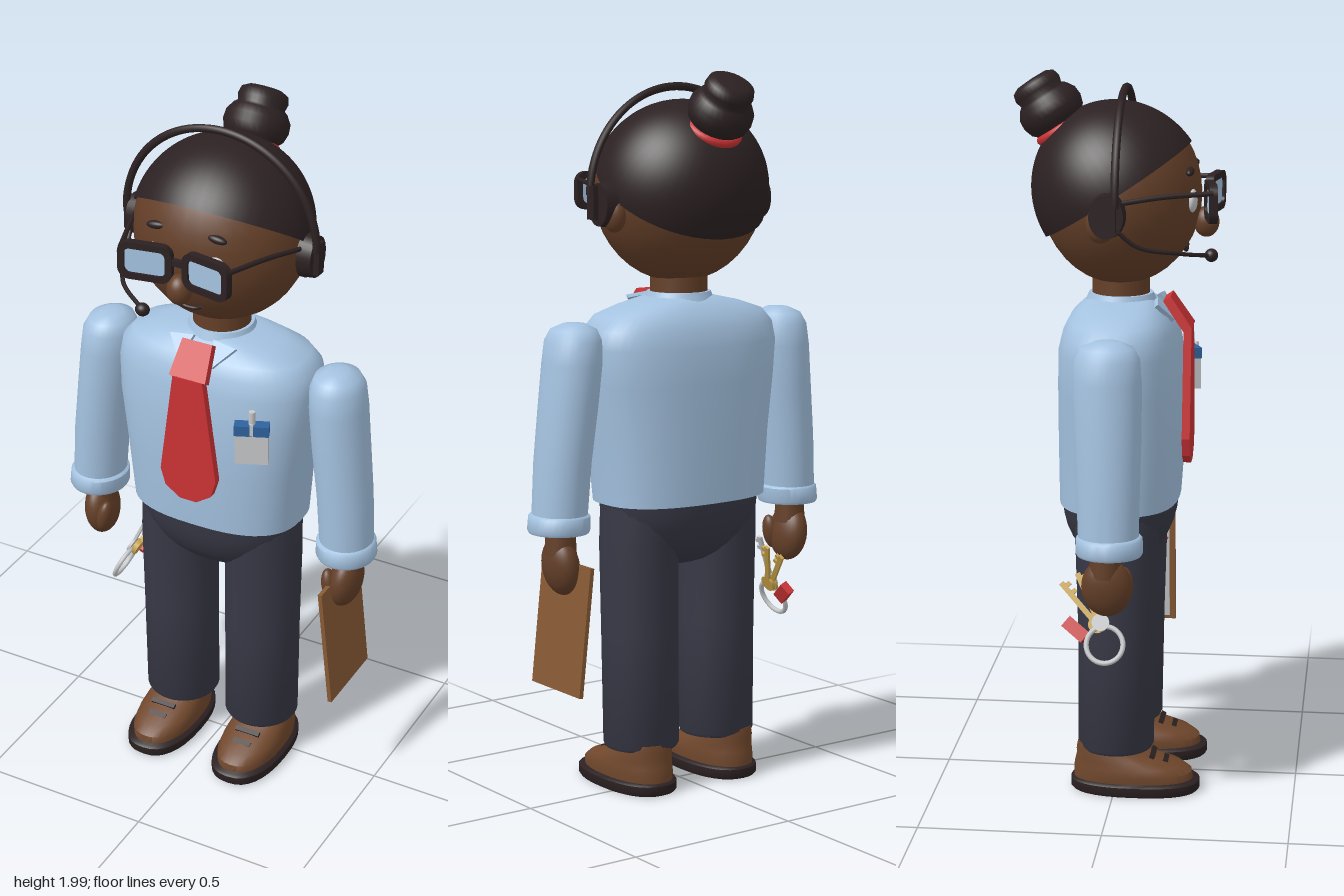
import * as THREE from 'three';
import { toCreasedNormals } from 'three/addons/utils/BufferGeometryUtils.js';

const mat = (name, color) => {
  const m = new THREE.MeshStandardMaterial({ color });
  m.name = name;
  return m;
};
const V = (x, y, z) => new THREE.Vector3(x, y, z);

// Stack of superellipse sections [y, centreX, centreZ, radiusX, radiusZ], capped at both ends
function loft(sections, n = 2, segs = 32) {
  const pos = [], idx = [];
  const bend = (v) => Math.sign(v) * Math.abs(v) ** (2 / n);
  for (const [y, cx, cz, rx, rz] of sections)
    for (let j = 0; j < segs; j++) {
      const a = (j / segs) * Math.PI * 2;
      pos.push(cx + rx * bend(Math.cos(a)), y, cz + rz * bend(Math.sin(a)));
    }
  const last = sections.length - 1, c0 = sections.length * segs;
  for (const [y, cx, cz] of [sections[0], sections[last]]) pos.push(cx, y, cz);
  for (let j = 0; j < segs; j++) {
    const k = (j + 1) % segs;
    for (let i = 0; i < last; i++) {
      const a = i * segs + j, b = i * segs + k;
      idx.push(a, a + segs, b, b, a + segs, b + segs);
    }
    idx.push(c0, j, k, c0 + 1, last * segs + k, last * segs + j);
  }
  const g = new THREE.BufferGeometry();
  g.setAttribute('position', new THREE.Float32BufferAttribute(pos, 3));
  g.setIndex(idx);
  return toCreasedNormals(g, 0.8);
}

// Flat plate from corner points
function plate(points, depth) {
  const shape = new THREE.Shape(points.map(([x, y]) => new THREE.Vector2(x, y)));
  return new THREE.ExtrudeGeometry(shape, { depth, bevelEnabled: false });
}

function roundRect(w, h, r, Type = THREE.Shape) {
  const s = new Type(), x = w / 2 - r, y = h / 2 - r;
  s.absarc(x, y, r, 0, Math.PI / 2);
  s.absarc(-x, y, r, Math.PI / 2, Math.PI);
  s.absarc(-x, -y, r, Math.PI, Math.PI * 1.5);
  s.absarc(x, -y, r, Math.PI * 1.5, Math.PI * 2);
  s.closePath();
  return s;
}

const tube = (points, r) =>
  new THREE.TubeGeometry(new THREE.CatmullRomCurve3(points.map((p) => V(...p))), 24, r, 8);
const box = (w, h, d) => new THREE.BoxGeometry(w, h, d);

export function createModel() {
  const skin = mat('skin', 0x643f28), shirt = mat('shirt blue', 0xa4c2e0), pants = mat('dark trousers', 0x383846);
  const red = mat('red', 0xcb3335), dark = mat('dark hair', 0x2c2122), board = mat('clipboard brown', 0x875a35);
  const silver = mat('light grey', 0xc6c8ca), gold = mat('gold', 0xc8a24a), blue = mat('pen blue', 0x2f629e);
  const leather = mat('shoe leather', 0x70472c);

  const model = new THREE.Group();
  const add = (name, geo, material, p = [0, 0, 0], rot = [0, 0, 0], parent = model) => {
    const m = new THREE.Mesh(geo, material);
    m.name = name;
    m.position.set(...p);
    m.rotation.set(...rot);
    parent.add(m);
    return m;
  };
  const ball = (name, material, p, r, rot) =>
    add(name, new THREE.SphereGeometry(1, 32, 20), material, p, rot).scale.set(...r);
  const group = (name, p, rot = [0, 0, 0]) => {
    const g = new THREE.Group();
    g.name = name;
    g.position.set(...p);
    g.rotation.set(...rot);
    model.add(g);
    return g;
  };

  // Torso, pelvis and neck
  add('shirtTorso', loft([[0.82, 0, 0, 0.25, 0.165], [1, 0, 0.005, 0.265, 0.172], [1.15, 0, 0.005, 0.285, 0.172],
    [1.25, 0, 0, 0.293, 0.165], [1.3, 0, 0, 0.285, 0.153], [1.335, 0, 0, 0.255, 0.135],
    [1.36, 0, 0, 0.18, 0.11], [1.38, 0, 0, 0.09, 0.085]], 2.6, 48), shirt);
  const pelvis = [];
  for (let i = 0; i <= 8; i++) {
    const a = (i / 8) * Math.PI / 2;
    pelvis.push([0.825 - 0.195 * Math.cos(a), 0, 0, 0.005 + 0.233 * Math.sin(a), 0.005 + 0.155 * Math.sin(a)]);
  }
  add('pelvis', loft(pelvis, 2.3), pants);
  add('neck', new THREE.CylinderGeometry(0.078, 0.08, 0.14, 32), skin, [0, 1.41, 0]);
  add('collar', new THREE.CylinderGeometry(0.088, 0.1, 0.03, 32), shirt, [0, 1.378, 0]);

  // Tie
  add('tieBlade', plate([[-0.045, 1.3], [-0.085, 1], [-0.07, 0.95], [-0.025, 0.92], [0.025, 0.92],
    [0.07, 0.95], [0.085, 1], [0.045, 1.3]], 0.022), red, [0, 0, 0.175]);
  add('tieKnot', plate([[-0.055, -0.05], [0.055, -0.05], [0.045, 0.055], [-0.045, 0.055]], 0.025), red,
    [0, 1.33, 0.15], [-0.6, 0, 0]);

  // Chest pocket with pen
  const pocket = group('chestPocket', [0.185, 1.15, 0.178], [0, 0.4, 0]);
  add('pocketBody', box(0.09, 0.09, 0.03), silver, [0, -0.015, 0], [0, 0, 0], pocket);
  add('pocketBand', box(0.094, 0.03, 0.034), blue, [0, 0.042, 0], [0, 0, 0], pocket);
  add('pen', new THREE.CylinderGeometry(0.009, 0.009, 0.07, 12), silver, [0, 0.06, 0], [0, 0, 0], pocket);
  add('penClip', box(0.01, 0.035, 0.006), silver, [0, 0.048, 0.018], [0, 0, 0], pocket);

  for (const s of [-1, 1]) {
    const side = s > 0 ? 'left' : 'right';
    add(side + 'CollarFlap', plate(s > 0 ? [[0.03, 0.055], [0.05, -0.02], [0.1, 0.045]]
      : [[-0.03, 0.055], [-0.1, 0.045], [-0.05, -0.02]], 0.012), shirt, [0, 1.335, 0.13], [-0.7, 0, 0]);

    // Arms
    add(side + 'Sleeve', loft([[0.78, s * 0.394, 0.008, 0.074, 0.08], [0.95, s * 0.383, 0.006, 0.076, 0.085],
      [1.1, s * 0.366, 0.003, 0.078, 0.09], [1.22, s * 0.354, 0, 0.078, 0.092], [1.28, s * 0.35, 0, 0.074, 0.087],
      [1.31, s * 0.348, 0, 0.06, 0.07], [1.325, s * 0.346, 0, 0.03, 0.035], [1.328, s * 0.346, 0, 0.002, 0.002]]), shirt);
    add(side + 'Cuff', loft([[0.76, s * 0.394, 0.01, 0.08, 0.086], [0.768, s * 0.394, 0.01, 0.084, 0.09],
      [0.805, s * 0.392, 0.01, 0.082, 0.089], [0.812, s * 0.392, 0.01, 0.074, 0.082]]), shirt);
    add(side + 'Wrist', new THREE.CylinderGeometry(0.04, 0.044, 0.08, 20), skin, [s * 0.395, 0.74, 0]);
    ball(side + 'Hand', skin, [s * 0.393, 0.668, 0.003], [0.044, 0.082, 0.068], [0, 0, s * -0.12]);
    ball(side + 'Thumb', skin, [s * 0.362, 0.665, 0.045], [0.022, 0.05, 0.026], [0, 0, s * 0.2]);

    // Legs and shoes
    add(side + 'TrouserLeg', loft([[0.125, s * 0.13, 0, 0.1, 0.1], [0.135, s * 0.13, 0, 0.106, 0.106],
      [0.45, s * 0.132, 0.003, 0.107, 0.108], [0.7, s * 0.134, 0.003, 0.108, 0.115], [0.81, s * 0.13, 0, 0.108, 0.12]]), pants);
    const sx = s * 0.14;
    add(side + 'Sole', loft([[0.005, sx, 0.055, 0.092, 0.174], [0.012, sx, 0.055, 0.097, 0.181],
      [0.034, sx, 0.055, 0.097, 0.181], [0.04, sx, 0.055, 0.09, 0.174]], 2.4), dark);
    add(side + 'Shoe', loft([[0.035, sx, 0.05, 0.084, 0.168], [0.06, sx, 0.048, 0.087, 0.166],
      [0.08, sx, 0.035, 0.084, 0.15], [0.1, sx, 0.005, 0.078, 0.115], [0.12, sx, -0.02, 0.074, 0.09],
      [0.145, sx, -0.04, 0.066, 0.065]], 2.3), leather);
    for (const i of [0, 1])
      add(side + 'Lace', box(0.075 - i * 0.02, 0.012, 0.014), dark, [sx, 0.106 - i * 0.017, 0.105 + i * 0.035], [0.5, 0, 0]);

    // Ears and headset cups
    ball(side + 'Ear', skin, [s * 0.235, 1.615, -0.03], [0.03, 0.05, 0.04]);
    add(side + 'HeadsetCup', new THREE.CylinderGeometry(0.046, 0.05, 0.04, 28), dark, [s * 0.256, 1.64, -0.012],
      [0, 0, s * -Math.PI / 2]).scale.x = 1.25;
    add(side + 'HeadsetArm', box(0.02, 0.09, 0.03), dark, [s * 0.282, 1.645, 0]);

    // Glasses and brows
    const eye = group(side + 'Glass', [s * 0.09, 1.658, 0.25], [0, -0.18 * s, 0]);
    const rim = roundRect(0.148, 0.106, 0.03);
    rim.holes.push(roundRect(0.112, 0.07, 0.016, THREE.Path));
    add('rim', new THREE.ExtrudeGeometry(rim, { depth: 0.022, bevelEnabled: false }), dark, [0, 0, -0.011], [0, 0, 0], eye);
    add('lens', box(0.116, 0.074, 0.008), shirt, [0, 0, 0], [0, 0, 0], eye);
    add(side + 'Temple', tube([[s * 0.158, 1.69, 0.26], [s * 0.205, 1.685, 0.13], [s * 0.25, 1.67, 0.005]], 0.007), dark);
    ball(side + 'EyeWhite', silver, [s * 0.085, 1.66, 0.2], [0.032, 0.032, 0.014]);
    ball(side + 'Brow', dark, [s * 0.09, 1.738, 0.193], [0.028, 0.011, 0.012], [0, 0, s * -0.12]);
  }
  add('glassesBridge', box(0.05, 0.016, 0.016), dark, [0, 1.668, 0.237]);

  // Head and face
  ball('head', skin, [0, 1.665, 0], [0.24, 0.247, 0.22]);
  ball('nose', skin, [0, 1.59, 0.232], [0.034, 0.042, 0.035]);
  add('mouth', tube([[-0.036, 1.522, 0.178], [-0.02, 1.514, 0.178], [0, 1.512, 0.179], [0.02, 1.514, 0.178], [0.036, 1.522, 0.178]], 0.005), dark);

  // Hair cap and bun share one backward tilt
  const tilt = [-0.58, 0, 0];
  const hair = add('hairCap', new THREE.SphereGeometry(1, 48, 24, 0, Math.PI * 2, 0, Math.PI * 0.49), dark, [0, 1.67, -0.004], tilt);
  hair.scale.set(0.248, 0.25, 0.236);
  hair.material.side = THREE.DoubleSide;
  const bun = group('hairBun', [0, 1.835, -0.157], tilt);
  const profile = [[0.055, -0.02], [0.062, 0.01], [0.082, 0.03], [0.09, 0.055], [0.088, 0.08], [0.074, 0.102],
    [0.064, 0.11], [0.069, 0.128], [0.064, 0.148], [0.045, 0.158], [0, 0.16]].map(([x, y]) => new THREE.Vector2(x, y));
  add('bunCoil', new THREE.LatheGeometry(profile, 32), dark, [0, 0, 0], [0, 0, 0], bun);
  add('hairTie', new THREE.TorusGeometry(0.066, 0.014, 10, 32), red, [0, 0.006, 0], [Math.PI / 2, 0, 0], bun);

  // Headset band and microphone
  add('headsetBand', new THREE.TorusGeometry(0.284, 0.011, 8, 48, Math.PI), dark, [0, 1.665, 0.012]);
  add('microphoneBoom', tube([[-0.272, 1.61, 0.01], [-0.255, 1.56, 0.07], [-0.2, 1.535, 0.18], [-0.105, 1.515, 0.25]], 0.006), dark);
  ball('microphone', dark, [-0.1, 1.515, 0.253], [0.02, 0.018, 0.018]);

  // Clipboard, with its sheet facing the leg
  const clip = group('clipboard', [0.388, 0.5, 0.003], [0, 0, 0.11]);
  const put = (name, size, m, p, rot) => add(name, box(...size), m, p, rot, clip);
  put('backing', [0.012, 0.355, 0.235], board, [0, 0, 0]);
  put('sheet', [0.004, 0.3, 0.2], silver, [-0.008, -0.015, 0]);
  put('clamp', [0.02, 0.03, 0.09], silver, [-0.012, 0.15, 0]);
  for (let i = 0; i < 6; i++)
    put('writtenLine', [0.003, 0.011, 0.13], dark, [-0.0105, 0.055 - i * 0.035, -0.01]);
  for (const r of [-0.6, 0.6]) put('redMark', [0.003, 0.012, 0.05], red, [-0.0105, 0.095, 0.05 + r * 0.04], [r, 0, 0]);

  // Key ring hanging from the right hip
  const keys = group('keyRing', [-0.33, 0.485, -0.01], [0, 0, -0.42]);
  add('ring', new THREE.TorusGeometry(0.05, 0.007, 8, 32), silver, [0, 0, 0], [0, Math.PI / 2, 0], keys);
  const addKey = (name, m, x, angle) => {
    const key = new THREE.Group();
    key.name = name;
    key.position.set(x, 0.04, -0.01);
    key.rotation.x = angle;
    keys.add(key);
    add('bow', new THREE.CylinderGeometry(0.024, 0.024, 0.008, 16), m, [0, 0.02, 0], [0, 0, Math.PI / 2], key);
    add('shaft', box(0.008, 0.14, 0.015), m, [0, 0.1, 0], [0, 0, 0], key);
    for (const y of [0.13, 0.155]) add('tooth', box(0.008, 0.012, 0.014), m, [0, y, 0.012], [0, 0, 0], key);
  };
  addKey('goldKey', gold, 0.012, -0.45);
  addKey('silverKey', silver, -0.006, -0.15);
  addKey('secondGoldKey', gold, 0.004, -0.75);
  add('redFob', box(0.022, 0.07, 0.036), red, [0.012, 0.04, -0.082], [-0.9, 0, 0], keys);

  return model;
}
